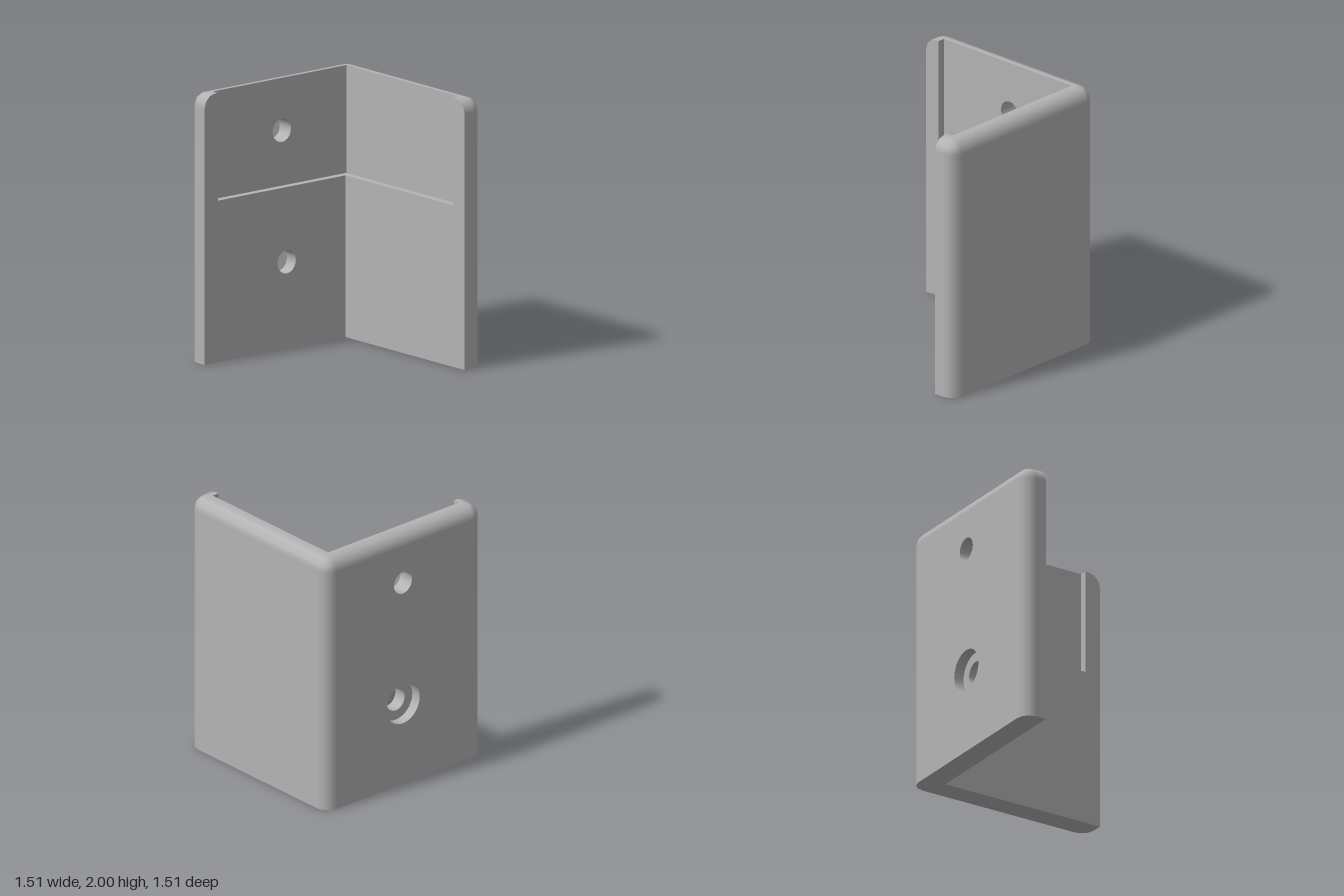
import * as THREE from 'three';

const H = 2, OUT = 0.755, INNER = -0.575;      // height, outer half width, inner wall plane
const R = 0.1, C = OUT - R;                    // edge rounding and its centre line
const FLOOR = -0.63, STEP = 1.2, RIM = 0.63;   // recess plane, ledge height, recess end
const HOLE_Z = -0.02, HOLE_R = 0.086, BORE_R = 0.16, BORE_X = -0.675;
const TOP_Y = 1.61, LOW_Y = 0.645, STEPS = 3;

export function createModel() {
  const group = new THREE.Group();
  const grey = new THREE.MeshStandardMaterial({ color: 0xb3b3b3, side: THREE.DoubleSide });
  grey.name = 'grey';

  const add = (name, geometry) => {
    const mesh = new THREE.Mesh(geometry, grey);
    mesh.name = name;
    group.add(mesh);
    return mesh;
  };

  // Flat face: 2D outline with round holes [u, v, r], placed in space and turned towards normal
  const face = (name, points, place, normal, holes = []) => {
    const shape = new THREE.Shape(points.map(([u, v]) => new THREE.Vector2(u, v)));
    for (const [u, v, r] of holes) {
      shape.holes.push(new THREE.Path().absarc(u, v, r, 0, Math.PI * 2, true));
    }
    const geo = new THREE.ShapeGeometry(shape, 20);
    const pos = geo.attributes.position;
    for (let i = 0; i < pos.count; i++) pos.setXYZ(i, ...place(pos.getX(i), pos.getY(i)));
    const n = new THREE.Vector3(...normal);
    const idx = geo.index;
    const [a, b, c] = [0, 1, 2].map(k => new THREE.Vector3().fromBufferAttribute(pos, idx.getX(k)));
    if (b.sub(a).cross(c.sub(a)).dot(n) < 0) {
      for (let i = 0; i < idx.count; i += 3) {
        const t = idx.getX(i);
        idx.setX(i, idx.getX(i + 1));
        idx.setX(i + 1, t);
      }
    }
    geo.computeVertexNormals();
    return add(name, geo);
  };

  // Outer path round three corners: arc centre and angle of each point
  const path = [[C, INNER, 0]];
  [[C, -C], [-C, -C], [-C, C]].forEach(([x, z], k) => {
    for (let i = 0; i <= STEPS; i++) path.push([x, z, -(k + i / STEPS) * Math.PI / 2]);
  });
  path.push([INNER, C, -1.5 * Math.PI]);

  // Rounded outer shell, leaving out the flat side panel that carries the holes
  const levels = [[0, 0]];
  for (let i = 0; i <= STEPS; i++) {
    const t = i / STEPS * Math.PI / 2;
    levels.push([H - R + R * Math.sin(t), t]);
  }
  const position = [], normal = [], index = [], n = path.length;
  const sidePanel = 2 * (STEPS + 1);
  levels.forEach(([y, t], j) => path.forEach(([x, z, a], i) => {
    const nx = Math.cos(a) * Math.cos(t), nz = Math.sin(a) * Math.cos(t);
    position.push(x + R * nx, y, z + R * nz);
    normal.push(nx, Math.sin(t), nz);
    if (j === levels.length - 1 || i === n - 1 || (j === 0 && i === sidePanel)) return;
    const p = j * n + i;
    index.push(p, p + 1, p + n + 1, p, p + n + 1, p + n);
  }));
  const shell = new THREE.BufferGeometry();
  shell.setAttribute('position', new THREE.Float32BufferAttribute(position, 3));
  shell.setAttribute('normal', new THREE.Float32BufferAttribute(normal, 3));
  shell.setIndex(index);
  add('outerShell', shell);

  // Outer side panel with the plain hole and the counterbore
  face('sidePanel', [[-C, 0], [C, 0], [C, H - R], [-C, H - R]],
    (u, v) => [-OUT, v, u], [-1, 0, 0],
    [[HOLE_Z, TOP_Y, HOLE_R], [HOLE_Z, LOW_Y, BORE_R]]);

  // Inner faces and recess, the same on both walls
  const inner = [[INNER, 0], [OUT, 0]];
  for (let i = 0; i <= STEPS; i++) {
    const t = i / STEPS * Math.PI / 2;
    inner.push([C + R * Math.cos(t), H - R + R * Math.sin(t)]);
  }
  inner.push([RIM, H], [RIM, STEP], [INNER, STEP]);
  const recess = [[FLOOR, STEP], [RIM, STEP], [RIM, H], [FLOOR, H]];
  const recessEnd = [[FLOOR, STEP], [INNER, STEP], [INNER, H], [FLOOR, H]];
  for (const left of [false, true]) {
    const wall = left ? 'sideWall' : 'backWall';
    const turn = (u, y, w) => (left ? [w, y, u] : [u, y, w]);
    face(wall + 'InnerFace', inner, (u, v) => turn(u, v, INNER), turn(0, 0, 1),
      left ? [[HOLE_Z, LOW_Y, HOLE_R]] : []);
    face(wall + 'RecessFloor', recess, (u, v) => turn(u, v, FLOOR), turn(0, 0, 1),
      left ? [[HOLE_Z, TOP_Y, HOLE_R]] : []);
    face(wall + 'RecessEnd', recessEnd, (w, v) => turn(RIM, v, w), turn(-1, 0, 0));
  }

  // Horizontal faces: base, recess ledge and top rim
  const flat = y => (u, v) => [u, y, v];
  const base = path.map(([x, z, a]) => [x + R * Math.cos(a), z + R * Math.sin(a)]);
  face('base', [...base, [INNER, INNER]], flat(0), [0, -1, 0]);
  face('recessLedge', [[FLOOR, FLOOR], [RIM, FLOOR], [RIM, INNER], [INNER, INNER],
    [INNER, RIM], [FLOOR, RIM]], flat(STEP), [0, 1, 0]);
  face('topRim', [[-C, -C], [C, -C], [C, INNER], [RIM, INNER], [RIM, FLOOR], [FLOOR, FLOOR],
    [FLOOR, RIM], [INNER, RIM], [INNER, C], [-C, C]], flat(H), [0, 1, 0]);

  // Hole walls
  const tube = (name, y, r, x0, x1) => {
    const geo = new THREE.CylinderGeometry(r, r, x1 - x0, 40, 1, true).rotateZ(Math.PI / 2);
    add(name, geo).position.set((x0 + x1) / 2, y, HOLE_Z);
  };
  tube('upperHole', TOP_Y, HOLE_R, -OUT, FLOOR);
  tube('lowerHole', LOW_Y, HOLE_R, BORE_X, INNER);
  tube('counterbore', LOW_Y, BORE_R, -OUT, BORE_X);
  const seat = new THREE.RingGeometry(HOLE_R, BORE_R, 40).rotateY(-Math.PI / 2);
  add('counterboreSeat', seat).position.set(BORE_X, LOW_Y, HOLE_Z);

  return group;
}
